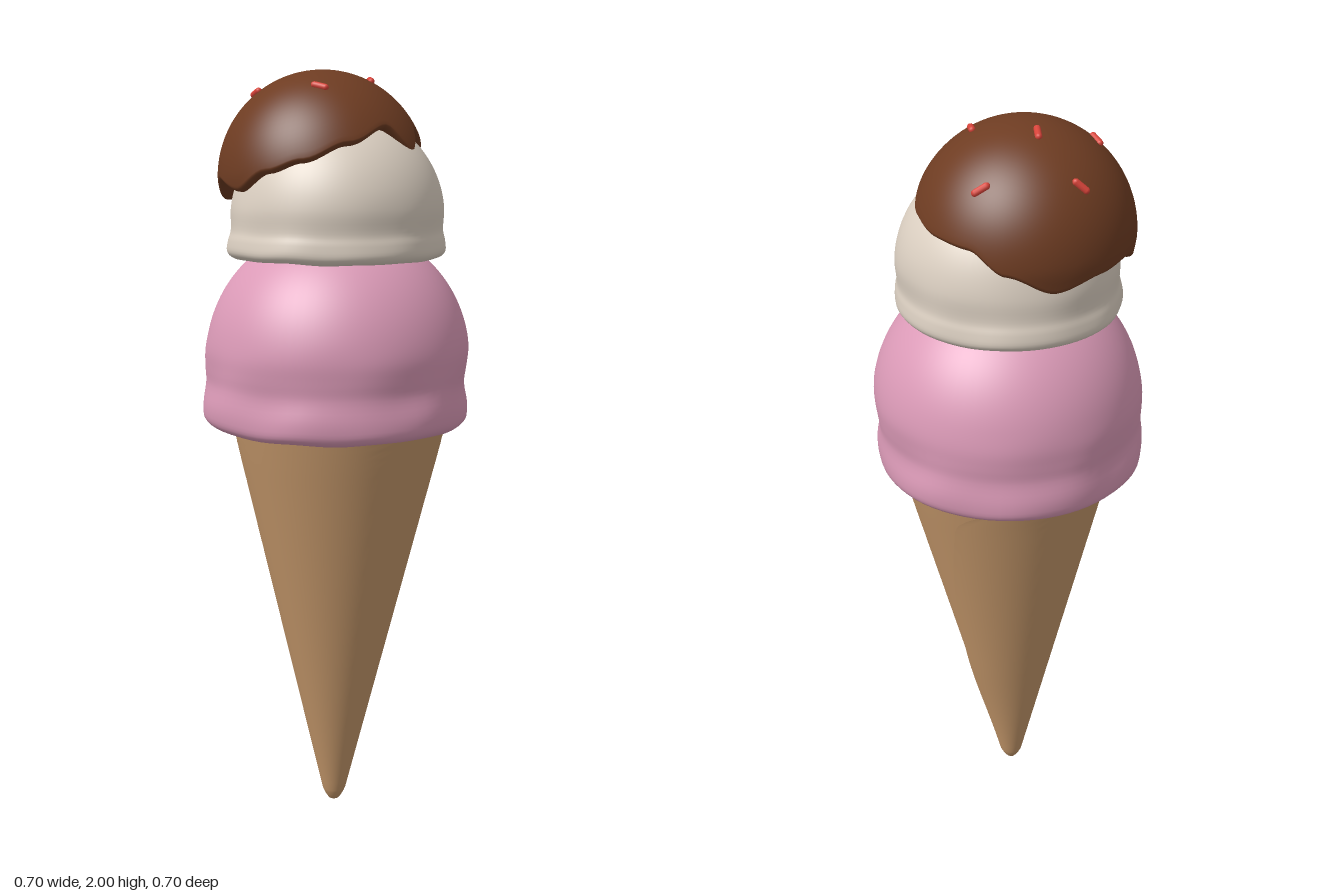
import * as THREE from 'three';
import { mergeVertices } from 'three/addons/utils/BufferGeometryUtils.js';

const TAU = Math.PI * 2, DEG = Math.PI / 180;

// Grid surface: u runs around +y from +x to +z, v runs upward
function surface(f, nu, nv, closed = true) {
  const pos = [], idx = [];
  for (let j = 0; j <= nv; j++)
    for (let i = 0; i <= nu; i++) pos.push(...f(closed && i === nu ? 0 : i / nu, j / nv));
  for (let j = 0; j < nv; j++)
    for (let i = 0; i < nu; i++) {
      const a = j * (nu + 1) + i, b = a + nu + 1;
      idx.push(a, b, a + 1, b, b + 1, a + 1);
    }
  let g = new THREE.BufferGeometry();
  g.setAttribute('position', new THREE.Float32BufferAttribute(pos, 3));
  g.setIndex(idx);
  if (closed) g = mergeVertices(g, 1e-5);
  g.computeVertexNormals();
  return g;
}

// Smooth interpolation through [x, y] pairs
function ease(table, x) {
  for (let i = 1; i < table.length; i++) {
    const [x0, y0] = table[i - 1], [x1, y1] = table[i];
    if (x <= x1) return y0 + (y1 - y0) * THREE.MathUtils.smoothstep(x, x0, x1);
  }
  return table[table.length - 1][1];
}

// Ball on a rolled skirt, slightly lumpy near the bottom
function scoop(skirt, centreY, radius, lump, phase) {
  const pts = skirt.map(([r, y]) => new THREE.Vector3(r, y, 0));
  for (let k = 0; k <= 10; k++) {
    const e = (0.05 + 0.95 * k / 10) * Math.PI / 2;
    pts.push(new THREE.Vector3(radius * Math.cos(e), centreY + radius * Math.sin(e), 0));
  }
  const curve = new THREE.CatmullRomCurve3(pts, false, 'centripetal');
  return surface((u, v) => {
    const p = curve.getPoint(v), a = u * TAU;
    const low = 1 - THREE.MathUtils.smoothstep(p.y, centreY - 0.1, centreY + 0.08);
    const w = lump * low * (Math.sin(3 * a + phase) + 0.6 * Math.sin(7 * a + 2 * phase + p.y * 20)
      + 0.5 * Math.sin(11 * a - phase));
    const r = Math.max(0, p.x * (1 + w / radius));
    return [r * Math.cos(a) - 0.006 * low, p.y + w * 0.7, r * Math.sin(a)];
  }, 72, 72);
}

export function createModel() {
  const group = new THREE.Group();
  const mat = (name, color, side = THREE.FrontSide) => {
    const m = new THREE.MeshStandardMaterial({ color, side });
    m.name = name;
    return m;
  };
  const add = (name, geometry, material) => {
    const m = new THREE.Mesh(geometry, material);
    m.name = name;
    group.add(m);
    return m;
  };
  const wafer = mat('wafer', 0xc4976a, THREE.DoubleSide);
  const pink = mat('strawberry pink', 0xdb9ab7);
  const cream = mat('vanilla cream', 0xdcd0c2);
  const brown = mat('chocolate brown', 0x6e3c22, THREE.DoubleSide);
  const red = mat('sprinkle red', 0xd9443a);

  // Rolled wafer cone: one sheet overlapping itself along a slanting seam at the back
  add('cone', surface((u, v) => {
    const y = v < 0.1 ? 0.04 * v / 0.1 : 0.04 + 1.08 * (v - 0.1) / 0.9;
    let r = v < 0.1 ? 0.032 * Math.sqrt(v / 0.1) : 0.032 + 0.257 * (y - 0.04) / 1.08;
    const corner = Math.max(0, (y - 1) / 0.1);
    const seam = (-35 - 55 * y - 25 * corner * corner) * DEG;
    r += 0.008 * THREE.MathUtils.smoothstep(u, 0.75, 1) * THREE.MathUtils.smoothstep(y, 0.1, 0.45);
    const a = seam + (u - 1) * (TAU + 0.15);
    return [r * Math.cos(a) - 0.013 + 0.016 * y, y, r * Math.sin(a)];
  }, 72, 50, false), wafer);

  // Two scoops
  add('lowerScoop', scoop([[0, 1.112], [0.25, 1.107], [0.32, 1.096], [0.342, 1.112],
    [0.347, 1.15], [0.339, 1.21], [0.342, 1.25]], 1.27, 0.345, 0.0035, 0.7), pink);
  add('upperScoop', scoop([[0, 1.54], [0.2, 1.538], [0.262, 1.53], [0.28, 1.545],
    [0.279, 1.575], [0.273, 1.6]], 1.63, 0.275, 0.0025, 2.1), cream);

  // Chocolate sauce cap with a dripping rim: [azimuth in degrees, rim height]
  const rim = [[0, 1.79], [18, 1.85], [45, 1.81], [70, 1.77], [90, 1.745], [112, 1.70], [136, 1.725],
    [156, 1.675], [180, 1.71], [200, 1.70], [225, 1.675], [250, 1.72], [270, 1.77], [292, 1.775],
    [315, 1.79], [342, 1.85], [360, 1.79]];
  const R = 0.27, cx = -0.045, cy = 1.73;
  const radiusAt = y => y < cy ? R - 0.3 * (cy - y) ** 1.2 : Math.sqrt(Math.max(0, R * R - (y - cy) ** 2));
  add('sauce', surface((u, v) => {
    const a = u * TAU, low = ease(rim, u * 360), lip = 0.014;
    let r, y;
    if (v < 0.15) {            // underside running in to the scoop
      y = low;
      r = radiusAt(low + lip) * (0.72 + 0.22 * v / 0.15);
    } else if (v < 0.3) {      // rounded lip
      const t = (v - 0.15) / 0.15 * Math.PI / 2;
      y = low + lip * (1 - Math.cos(t));
      r = radiusAt(low + lip) * (0.94 + 0.06 * Math.sin(t));
    } else {                   // dome, by equal angles up to the pole
      const t = (v - 0.3) / 0.7, y0 = low + lip;
      const e0 = Math.asin((y0 - cy) / R), e = e0 + (Math.PI / 2 - e0) * t;
      y = cy + R * Math.sin(e);
      r = t > 0.999 ? 0 : radiusAt(y);
    }
    return [cx + r * Math.cos(a), y, r * Math.sin(a)];
  }, 120, 40), brown);

  // Sprinkles: [x, z, direction x, direction z]
  const sprinkle = new THREE.CapsuleGeometry(0.0085, 0.03, 5, 10);
  [[-0.05, -0.21, 40, -24], [-0.235, -0.088, 40, -18], [-0.105, -0.048, 25, 36],
    [0.067, -0.048, 27, 36], [-0.18, 0.1, 36, 22], [0.028, 0.135, 45, -7]].forEach(([x, z, dx, dz], i) => {
    const n = new THREE.Vector3(x - cx, Math.sqrt(R * R - (x - cx) ** 2 - z * z), z).normalize();
    const d = new THREE.Vector3(dx, -(dx * n.x + dz * n.z) / n.y, dz).normalize();
    const m = add('sprinkle' + (i + 1), sprinkle, red);
    m.position.set(cx, cy, 0).addScaledVector(n, R + 0.001);
    m.quaternion.setFromUnitVectors(new THREE.Vector3(0, 1, 0), d);
  });
  return group;
}
